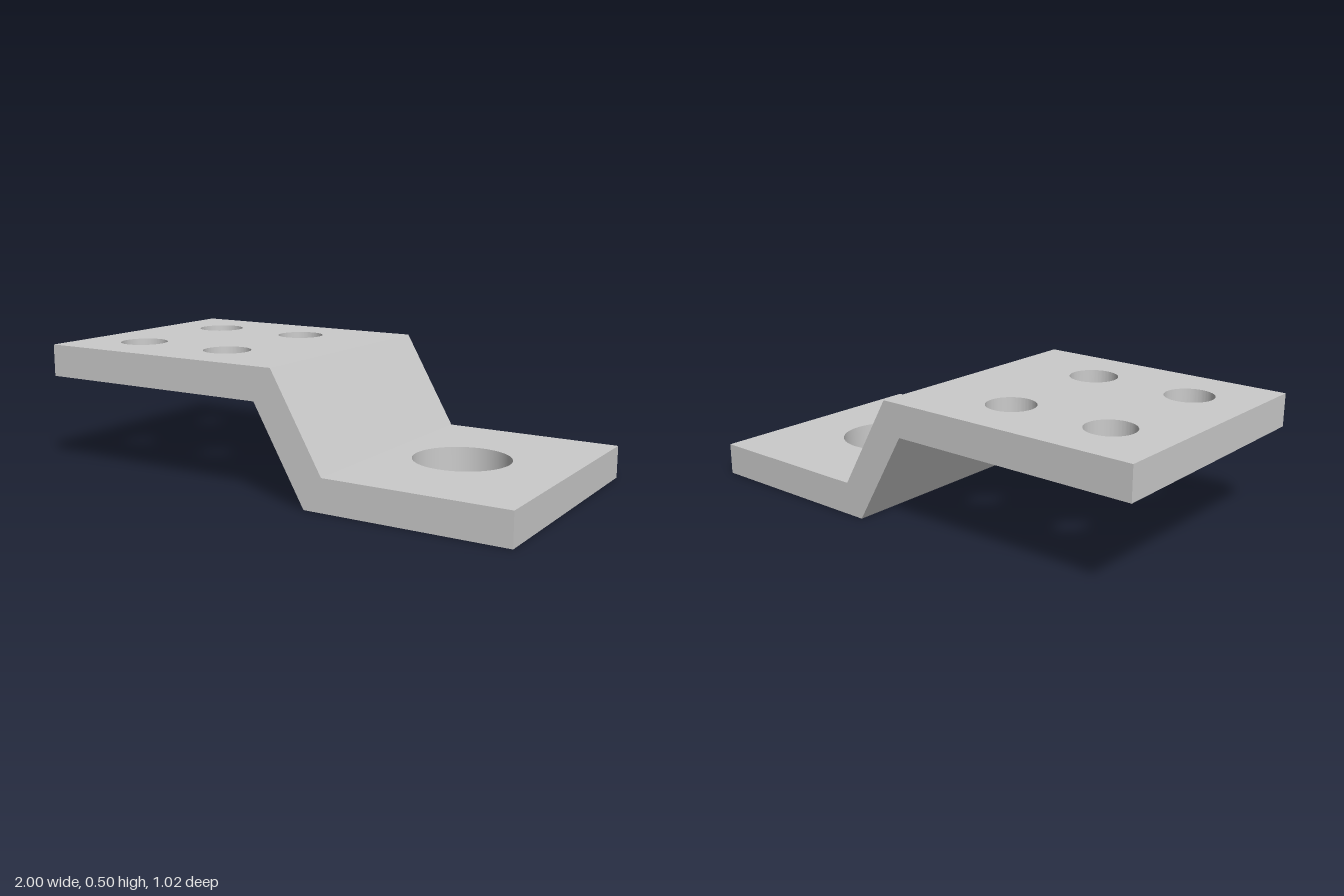
import * as THREE from 'three';
import { toCreasedNormals } from 'three/addons/utils/BufferGeometryUtils.js';

const T = 0.128;      // sheet thickness
const H = 0.497;      // overall height
const W = 0.51;       // half width in z
const UP = [-0.009, 0.065];   // upper bend: x at the underside, x at the top face
const LOW = [0.204, 0.278];   // lower bend: x at the underside, x at the top face

const material = new THREE.MeshStandardMaterial({ color: 0xcccccc });

function makeMesh(name, geometry) {
  const mesh = new THREE.Mesh(toCreasedNormals(geometry, 0.5), material);
  mesh.name = name;
  return mesh;
}

// Flat plate with round holes [x, z, radius]; the edge at the bend is mitred.
function plate(name, endX, bend, y, holes) {
  const x0 = Math.min(endX, bend[0]);
  const x1 = Math.max(endX, bend[0]);
  const shape = new THREE.Shape([
    new THREE.Vector2(x0, -W), new THREE.Vector2(x1, -W),
    new THREE.Vector2(x1, W), new THREE.Vector2(x0, W),
  ]);
  for (const [x, z, r] of holes) {
    shape.holes.push(new THREE.Path().absarc(x, -z, r, 0, Math.PI * 2, true));
  }
  const geometry = new THREE.ExtrudeGeometry(shape, { depth: T, bevelEnabled: false, curveSegments: 48 });
  geometry.rotateX(-Math.PI / 2);
  const p = geometry.attributes.position;
  for (let i = 0; i < p.count; i++) {
    if (Math.abs(p.getX(i) - bend[0]) < 1e-4 && p.getY(i) > T / 2) p.setX(i, bend[1]);
  }
  geometry.translate(0, y, 0);
  return makeMesh(name, geometry);
}

export function createModel() {
  const group = new THREE.Group();
  group.name = 'offsetBracket';

  // Upper plate with four screw holes
  const screwHoles = [];
  for (const x of [-0.745, -0.32]) for (const z of [-0.255, 0.255]) screwHoles.push([x, z, 0.094]);
  group.add(plate('upperPlate', -1, UP, H - T, screwHoles));

  // Lower plate with one large hole
  group.add(plate('lowerPlate', 1, LOW, 0, [[0.574, 0, 0.187]]));

  // Sloping web joining the two plates
  const profile = new THREE.Shape([
    new THREE.Vector2(UP[0], H - T), new THREE.Vector2(LOW[0], 0),
    new THREE.Vector2(LOW[1], T), new THREE.Vector2(UP[1], H),
  ]);
  const web = new THREE.ExtrudeGeometry(profile, { depth: 2 * W, bevelEnabled: false });
  web.translate(0, 0, -W);
  group.add(makeMesh('slopingWeb', web));

  return group;
}
